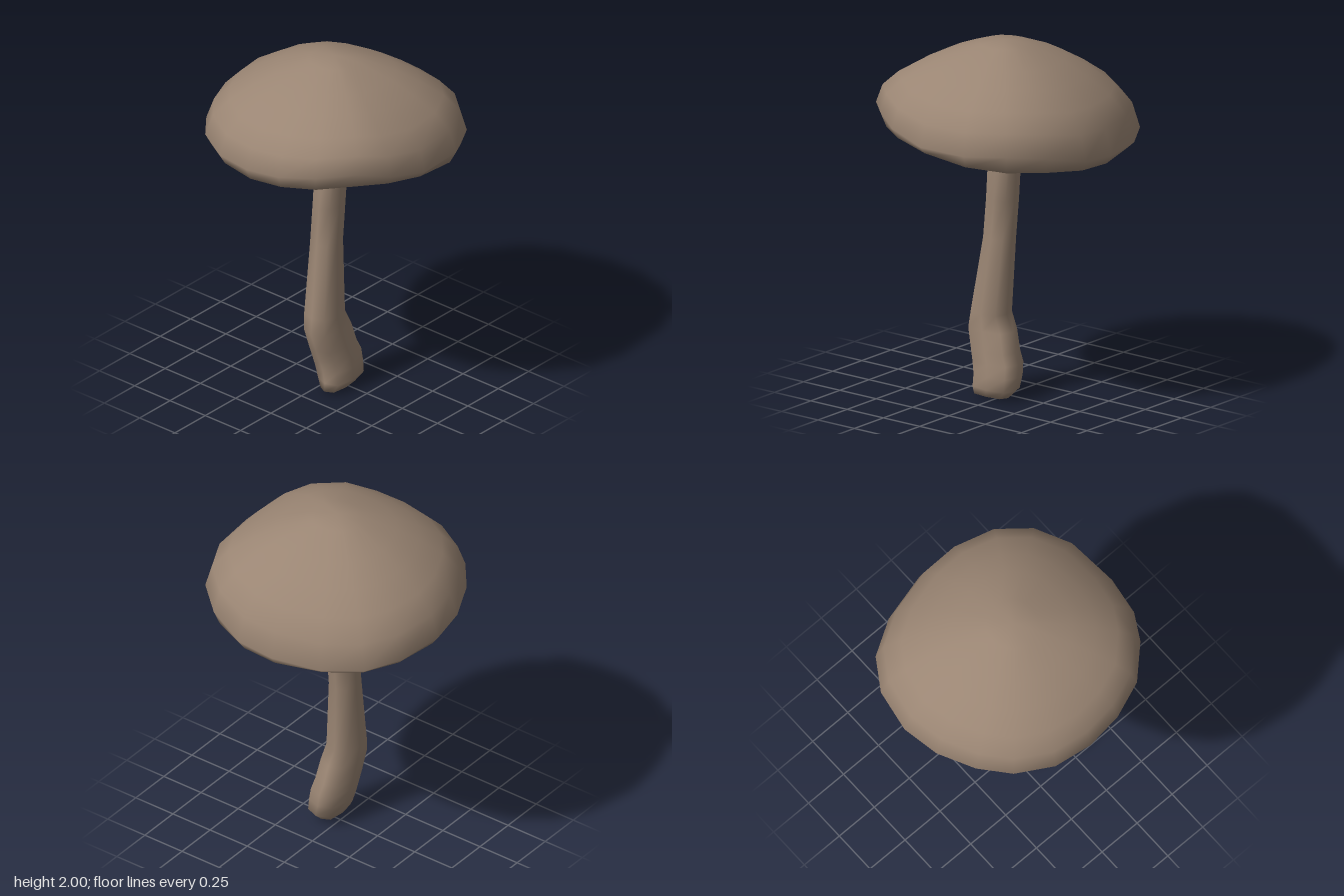
import * as THREE from 'three';

// Smooth closed skin through rings ordered from the bottom pole to the top pole.
// Each ring runs from +x towards +z.
function loft(rings, bottom, top) {
  const n = rings[0].length, pos = [], idx = [];
  rings.forEach(r => r.forEach(p => pos.push(...p)));
  const b = rings.length * n, t = b + 1;
  pos.push(...bottom, ...top);
  const last = (rings.length - 1) * n;
  for (let i = 0; i < n; i++) {
    const j = (i + 1) % n;
    for (let k = 0; k < last; k += n) {
      idx.push(k + i, k + n + i, k + j, k + j, k + n + i, k + n + j);
    }
    idx.push(b, i, j, t, last + j, last + i);
  }
  const g = new THREE.BufferGeometry();
  g.setAttribute('position', new THREE.Float32BufferAttribute(pos, 3));
  g.setIndex(idx);
  g.computeVertexNormals();
  return g;
}

// Cap: an uneven outline [x, z, lip height, edge height], shrunk and raised towards the crown
function capGeometry() {
  const outline = [
    [0.68, -0.05, 1.405, 1.46], [0.68, 0.17, 1.415, 1.475], [0.60, 0.40, 1.44, 1.53],
    [0.45, 0.57, 1.45, 1.55], [0.24, 0.675, 1.47, 1.54], [-0.04, 0.695, 1.505, 1.545],
    [-0.27, 0.65, 1.54, 1.595], [-0.43, 0.555, 1.555, 1.64], [-0.59, 0.39, 1.54, 1.625],
    [-0.66, 0.19, 1.515, 1.59], [-0.68, -0.02, 1.50, 1.57], [-0.645, -0.24, 1.505, 1.565],
    [-0.53, -0.44, 1.505, 1.57], [-0.37, -0.57, 1.495, 1.56], [-0.16, -0.665, 1.485, 1.535],
    [0.06, -0.70, 1.47, 1.52], [0.31, -0.65, 1.455, 1.495], [0.49, -0.53, 1.435, 1.47],
    [0.61, -0.33, 1.42, 1.455],
  ];
  const crown = 2;
  // hollow underside, then the lip: [scale, lift]
  const under = [[0.35, 0.08], [0.65, 0.055], [0.87, 0.005], [0.95, 0]].map(([s, lift]) =>
    outline.map(([x, z, y]) => [x * s, THREE.MathUtils.lerp(1.5, y, s) + lift, z * s]));
  // outer edge up to the crown: [scale, share of the height]
  const dome = [[1, 0], [0.945, 0.27], [0.82, 0.475], [0.64, 0.66], [0.46, 0.81], [0.2, 0.962]]
    .map(([s, h]) => outline.map(([x, z, , edge]) =>
      [x * s, edge + (crown - edge) * h, z * s + 0.02 * h]));
  return loft([...under, ...dome], [0.01, 1.585, 0], [0, crown, 0.02]);
}

// Stem: bent, slightly squarish tube with a swollen foot, rows of [y, xMin, xMax, zMin, zMax]
function stemGeometry() {
  const rows = [
    [0.012, -0.15, 0.07, 0.02, 0.135],
    [0.06, -0.147, 0.12, -0.01, 0.165],
    [0.13, -0.146, 0.122, -0.035, 0.16],
    [0.2, -0.163, 0.12, -0.045, 0.15],
    [0.26, -0.18, 0.092, -0.05, 0.14],
    [0.37, -0.21, 0.065, -0.058, 0.125],
    [0.46, -0.195, 0.018, -0.064, 0.115],
    [0.88, -0.13, 0.035, -0.07, 0.08],
    [1.1, -0.11, 0.055, -0.07, 0.08],
    [1.6, -0.075, 0.092, -0.065, 0.088],
  ];
  const sides = 8;
  const bulge = v => Math.sign(v) * Math.abs(v) ** 0.65;
  const rings = rows.map(([y, x0, x1, z0, z1]) => Array.from({ length: sides }, (_, i) => {
    const a = (i / sides) * Math.PI * 2;
    return [
      (x0 + x1) / 2 + bulge(Math.cos(a)) * (x1 - x0) / 2,
      y,
      (z0 + z1) / 2 + bulge(Math.sin(a)) * (z1 - z0) / 2,
    ];
  }));
  return loft(rings, [-0.03, 0, 0.06], [0.01, 1.61, 0.01]);
}

export function createModel() {
  const group = new THREE.Group();
  group.name = 'mushroom';
  const brown = new THREE.MeshStandardMaterial({ color: 0x9a8573 });
  brown.name = 'mushroomBrown';

  const cap = new THREE.Mesh(capGeometry(), brown);
  cap.name = 'cap';
  const stem = new THREE.Mesh(stemGeometry(), brown);
  stem.name = 'stem';
  group.add(cap, stem);
  return group;
}
